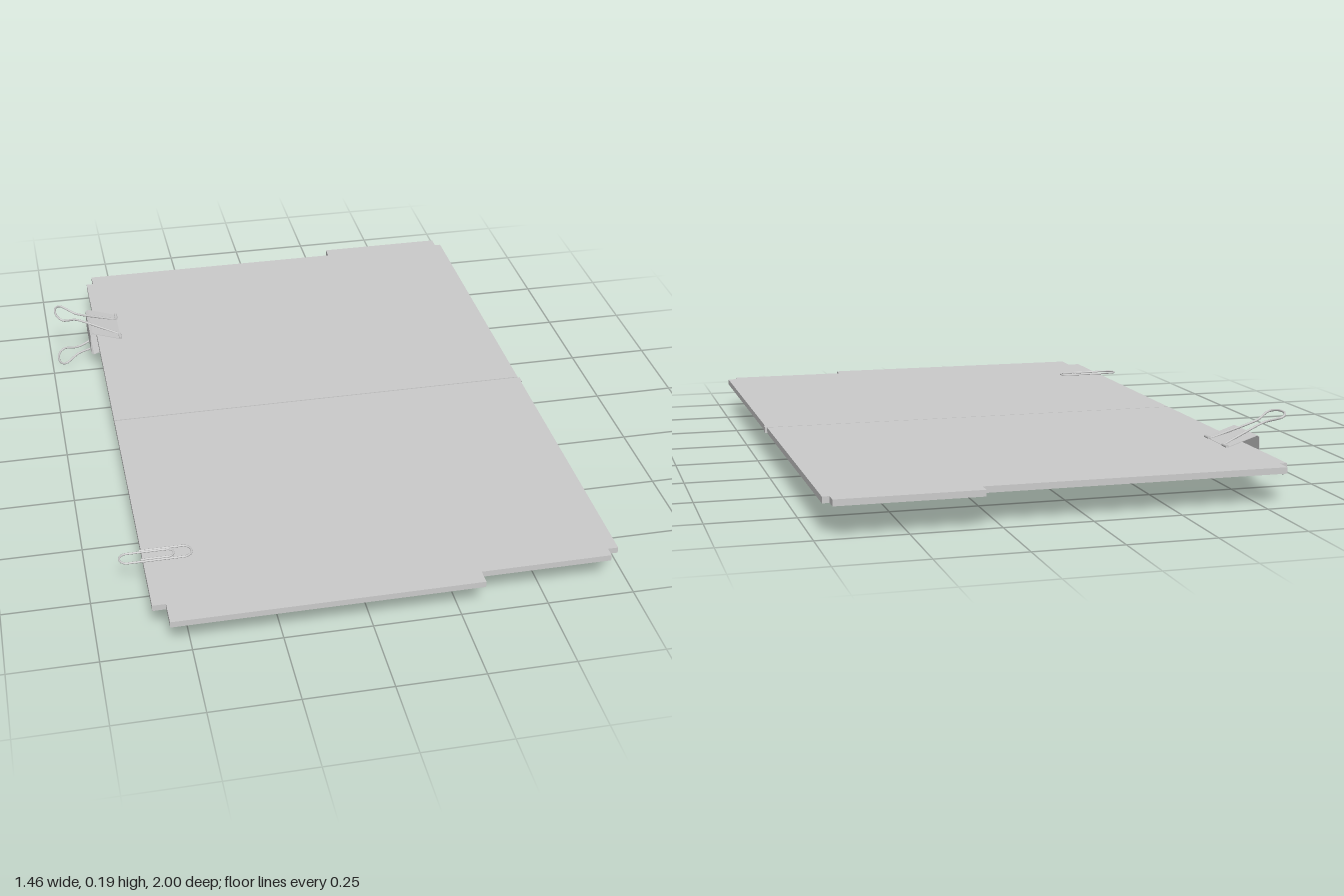
import * as THREE from 'three';

const material = new THREE.MeshStandardMaterial({ color: 0xcccccc, side: THREE.DoubleSide });
const MID = 0.095; // height of the board's middle plane
const HALF = 0.009; // half the board's thickness

function addMesh(parent, name, geometry) {
  const mesh = new THREE.Mesh(geometry, material);
  mesh.name = name;
  parent.add(mesh);
  return mesh;
}

// Flat board from an [x, z] outline, extruded upwards
function board(outline) {
  const shape = new THREE.Shape(outline.map(([x, z]) => new THREE.Vector2(x, -z)));
  const geometry = new THREE.ExtrudeGeometry(shape, { depth: HALF * 2, bevelEnabled: false });
  return geometry.rotateX(-Math.PI / 2).translate(0, MID - HALF, 0);
}

// Round wire through a list of points
function wire(points, radius, tension = 0.5) {
  const curve = new THREE.CatmullRomCurve3(points, false, 'catmullrom', tension);
  return new THREE.TubeGeometry(curve, points.length * 6, radius, 8);
}

// Half circle in plan; side is +1 for the right end, -1 for the left end
function bend(cx, z0, z1, side) {
  const points = [];
  const cz = (z0 + z1) / 2, r = (z1 - z0) / 2;
  for (let i = 0; i <= 8; i++) {
    const a = (i / 8) * Math.PI;
    points.push([cx + side * r * Math.sin(a), cz - side * r * Math.cos(a)]);
  }
  return points;
}

function createBinderClip() {
  const clip = new THREE.Group();
  clip.name = 'binderClip';
  const width = 0.165;

  // Folded sheet body: spine and two jaws, open at the ends
  const profile = [[-0.518, 0.01], [-0.56, 0.024], [-0.612, 0.041], [-0.62, 0.036],
    [-0.62, -0.036], [-0.612, -0.041], [-0.56, -0.024], [-0.518, -0.01]];
  const t = 0.002;
  const shape = new THREE.Shape([
    ...profile.map(([x, y]) => new THREE.Vector2(x, y)),
    ...profile.slice().reverse().map(([x, y]) =>
      new THREE.Vector2(Math.max(x, -0.62 + t), y - Math.sign(y) * t)),
  ]);
  const body = new THREE.ExtrudeGeometry(shape, { depth: width, bevelEnabled: false });
  addMesh(clip, 'clipBody', body.translate(0, 0, -width / 2));

  // Curled lips and wire handles, above and below
  const half = [[-0.52, 0.068], [-0.521, 0.052], [-0.535, 0.046], [-0.59, 0.033], [-0.64, 0.022],
    [-0.665, 0.024], [-0.69, 0.042], [-0.703, 0.049], [-0.716, 0.042], [-0.725, 0.022]];
  const path = [...half, [-0.727, 0], ...half.slice().reverse().map(([x, z]) => [x, -z])];
  for (const s of [1, -1]) {
    for (const side of [1, -1]) {
      const lip = new THREE.CylinderGeometry(0.005, 0.005, 0.032, 10);
      addMesh(clip, 'clipLip', lip.rotateX(Math.PI / 2))
        .position.set(-0.519, s * 0.012, side * (width / 2 - 0.016));
    }
    const points = path.map(([x, z]) =>
      new THREE.Vector3(x, s * (0.011 + (-0.52 - x) * 0.39), z));
    addMesh(clip, 'clipHandle', wire(points, 0.0035));
  }
  clip.position.set(0, MID, -0.588);
  return clip;
}

function createPaperClip() {
  const path = [
    [-0.6, 0.677], [-0.54, 0.677],
    ...bend(-0.48, 0.677, 0.727, 1),
    [-0.56, 0.727],
    ...bend(-0.638, 0.684, 0.727, -1),
    [-0.58, 0.684],
    ...bend(-0.523, 0.684, 0.718, 1),
    [-0.56, 0.718], [-0.6, 0.718],
  ];
  const points = path.map(([x, z]) => new THREE.Vector3(x, MID + HALF + 0.002, z));
  return wire(points, 0.003, 0.3);
}

export function createModel() {
  const model = new THREE.Group();
  model.name = 'folderWithClips';

  // Two notched halves meeting at the fold
  addMesh(model, 'frontHalf', board([
    [-0.595, -0.004], [-0.595, 0.922], [-0.557, 0.922], [-0.557, 1], [0.315, 1],
    [0.315, 0.955], [0.692, 0.955], [0.692, 0.925], [0.722, 0.925], [0.722, 0.025],
    [0.726, 0.02], [0.726, -0.004],
  ]));
  addMesh(model, 'backHalf', board([
    [-0.595, -0.008], [0.72, -0.008], [0.72, -0.96], [0.7, -0.96], [0.7, -1],
    [0.295, -1], [0.295, -0.96], [-0.573, -0.96], [-0.573, -0.91], [-0.595, -0.91],
  ]));

  // Thin spine joining the halves inside the fold
  addMesh(model, 'foldSpine', new THREE.BoxGeometry(1.31, 0.01, 0.008))
    .position.set(0.0625, MID, -0.006);

  model.add(createBinderClip());
  addMesh(model, 'paperClip', createPaperClip());
  return model;
}
